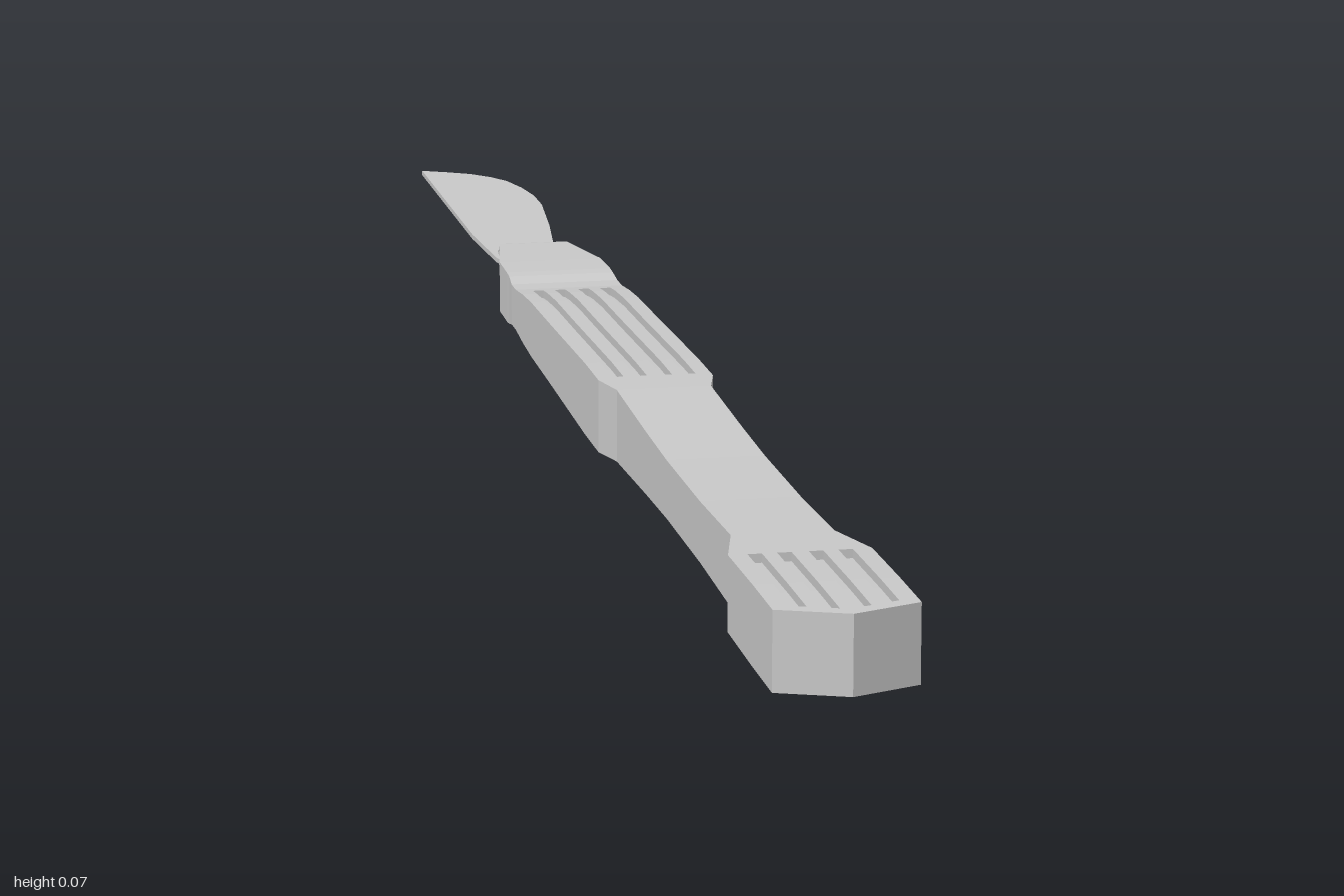
import * as THREE from 'three';

const MID = 0.035; // height of the centre plane

// Handle profile: z, half width, half thickness
const PROFILE = [
  [-0.56, 0.028, 0.003], [-0.54, 0.03, 0.008], [-0.515, 0.033, 0.02], [-0.5, 0.036, 0.023],
  [-0.4, 0.053, 0.026], [-0.35, 0.054, 0.026], [-0.335, 0.054, 0.025], [-0.315, 0.055, 0.021],
  [-0.29, 0.055, 0.021], [-0.25, 0.055, 0.025], [-0.2, 0.055, 0.028], [-0.1, 0.055, 0.03],
  [0, 0.055, 0.0325], [0.1, 0.055, 0.035], [0.17, 0.055, 0.035], [0.21, 0.045, 0.0345],
  [0.35, 0.045, 0.0295], [0.45, 0.045, 0.027], [0.6, 0.045, 0.0275], [0.73, 0.045, 0.0315],
  [0.8, 0.062, 0.0335], [0.9, 0.062, 0.035], [1, 0.062, 0.035],
];
// Grip grooves: start z, end z
const GROOVES = [[-0.275, 0.16], [0.8, 0.985]];
const GROOVE_DEPTH = 0.008;

function profileAt(z) {
  let i = 1;
  while (i < PROFILE.length - 1 && PROFILE[i][0] < z) i++;
  const [a, b] = [PROFILE[i - 1], PROFILE[i]];
  const t = (z - a[0]) / (b[0] - a[0]);
  return [1, 2].map((k) => a[k] + (b[k] - a[k]) * t);
}

// Rows along z; a groove end doubles its row to make an upright wall
function makeRows() {
  const inside = (z) => GROOVES.some(([s, e]) => z > s && z < e);
  const rows = PROFILE.map(([z]) => ({ z, cut: inside(z) ? 1 : 0, order: 0 }));
  for (const [s, e] of GROOVES) {
    rows.push({ z: s, cut: 0, order: 1 }, { z: s, cut: 1, order: 2 });
    rows.push({ z: e, cut: 1, order: 1 }, { z: e, cut: 0, order: 2 });
  }
  return rows.sort((a, b) => a.z - b.z || a.order - b.order);
}

// Columns across the width (-1..1), doubled at the groove walls
function makeColumns() {
  const half = 0.1;
  const groove = (c) => [[c - half, 0], [c - half, 1], [c + half, 1], [c + half, 0]];
  return [[-1, 0], ...groove(-0.63), ...groove(-0.22), [0, 0],
    ...groove(0.22), ...groove(0.63), [1, 0]];
}

function handleGeometry() {
  const columns = makeColumns();
  const n = columns.length;
  // Each ring runs left to right on top, then back underneath
  const rings = makeRows().map(({ z, cut }) => {
    const [w, h] = profileAt(z);
    const point = ([u, g], side) => new THREE.Vector3(
      u * w,
      MID + side * (h - cut * g * GROOVE_DEPTH),
      z - (z > 0.95 ? 0.024 * Math.abs(u) : 0), // blunt pointed butt
    );
    return [...columns.map((c) => point(c, 1)), ...columns.map((c) => point(c, -1)).reverse()];
  });

  const positions = [];
  const tri = (a, b, c) => {
    const area = b.clone().sub(a).cross(c.clone().sub(a)).length();
    if (area > 1e-10) for (const p of [a, b, c]) positions.push(p.x, p.y, p.z);
  };
  const quad = (a, b, c, d) => { tri(a, b, c); tri(a, c, d); };

  for (let r = 0; r < rings.length - 1; r++) {
    const [p, q] = [rings[r], rings[r + 1]];
    for (let j = 0; j < 2 * n; j++) {
      const k = (j + 1) % (2 * n);
      quad(p[j], q[j], q[k], p[k]);
    }
  }
  // End caps
  const back = rings[0];
  const front = rings[rings.length - 1];
  for (let i = 0; i < n - 1; i++) {
    const [lo, lo2] = [2 * n - 1 - i, 2 * n - 2 - i];
    quad(front[lo], front[lo2], front[i + 1], front[i]);
    quad(back[lo2], back[lo], back[i], back[i + 1]);
  }
  const geometry = new THREE.BufferGeometry();
  geometry.setAttribute('position', new THREE.Float32BufferAttribute(positions, 3));
  geometry.computeVertexNormals();
  return geometry;
}

// Thin blade with a straight spine and a curved cutting edge
function bladeGeometry() {
  const thickness = 0.005;
  const outline = [
    [-0.03, 0.5], [0.028, 0.5], [0.029, 0.53], [0.036, 0.58], [0.049, 0.68], [0.055, 0.74],
    [0.06, 0.79], [0.06, 0.84], [0.054, 0.885], [0.044, 0.925], [0.03, 0.95], [0.01, 0.972],
    [-0.015, 0.987], [-0.041, 1], [-0.041, 0.65], [-0.035, 0.53],
  ].map(([x, y]) => new THREE.Vector2(x, y));
  const geometry = new THREE.ExtrudeGeometry(new THREE.Shape(outline),
    { depth: thickness, bevelEnabled: false });
  geometry.rotateX(-Math.PI / 2);
  geometry.translate(0, MID - thickness / 2, 0);
  return geometry;
}

export function createModel() {
  const group = new THREE.Group();
  group.name = 'scalpel';
  const material = new THREE.MeshStandardMaterial({ color: 0xcccccc, flatShading: true });
  const add = (name, geometry) => {
    const mesh = new THREE.Mesh(geometry, material);
    mesh.name = name;
    group.add(mesh);
  };
  add('handle', handleGeometry());
  add('blade', bladeGeometry());
  return group;
}
